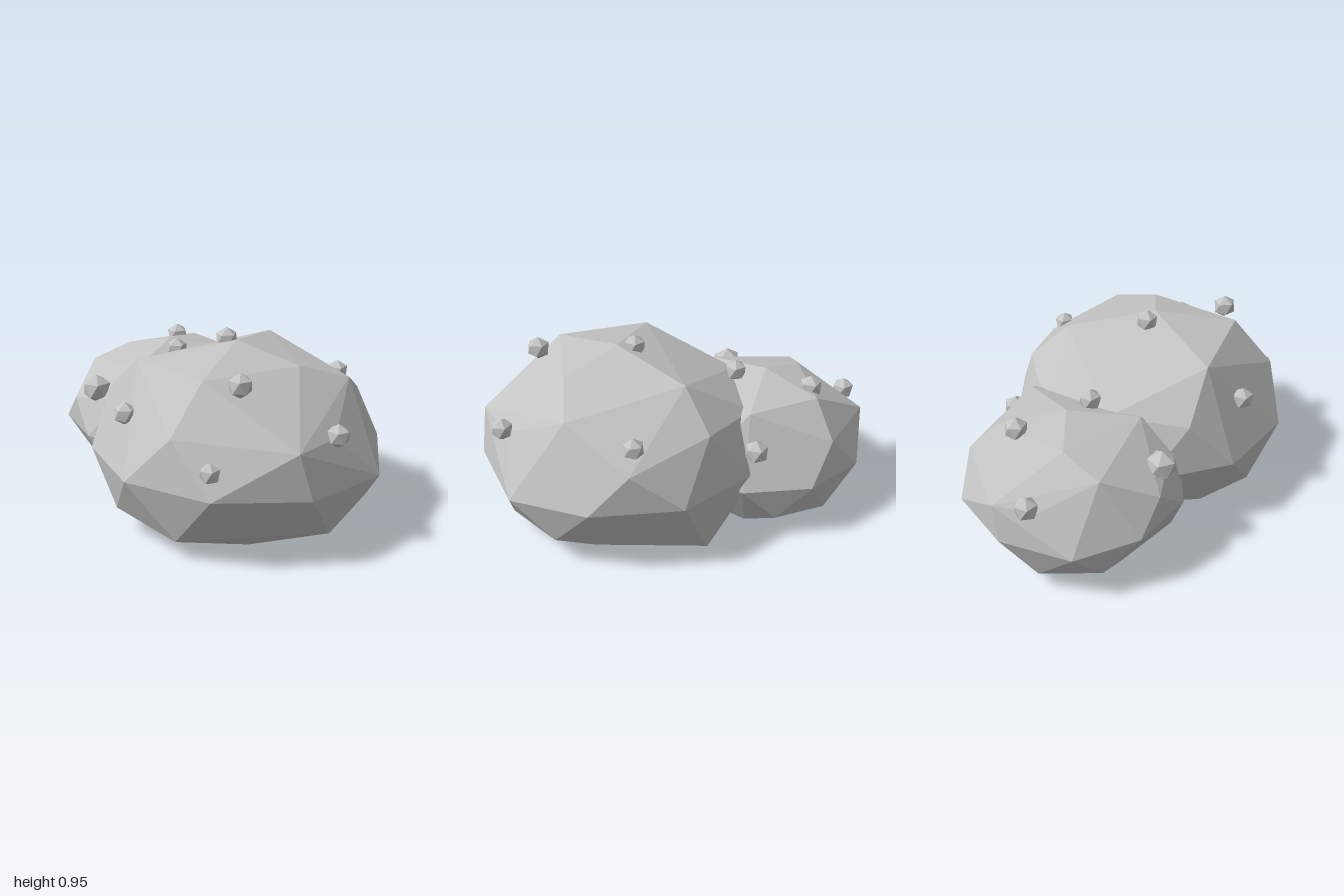
import * as THREE from 'three';
import { ConvexGeometry } from 'three/addons/geometries/ConvexGeometry.js';

const CENTRE = new THREE.Vector3(0, 0.375, 0.27);
const RADII = new THREE.Vector3(0.715, 0.53, 0.73);

// Rings of a faceted ball: height, first angle, angle step, chipped corners by angle
const RINGS = [
  { h: 0.851, start: 0, step: 72, moved: {
    0: [0.32, 0.835, 0], 72: [0.17, 0.83, 0.57], 144: [-0.33, 0.83, 0.58],
    216: [-0.46, 0.815, 0.115], 288: [0.12, 0.76, -0.09] } },
  { h: 0.526, start: 36, step: 72, moved: {
    36: [0.44, 0.74, 0.58], 108: [-0.05, 0.58, 0.975], 180: [-0.55, 0.63, 0.27] } },
  { h: 0.447, start: 0, step: 72, moved: { 0: [0.675, 0.57, 0.3], 72: [0.2, 0.57, 0.86] } },
  { h: 0, start: 18, step: 36, moved: { 54: [0.45, 0.34, 0.86], 90: [0.01, 0.355, 1] } },
  { h: -0.447, start: 36, step: 72, moved: { 108: [-0.12, 0, 0.64], 324: [0.51, 0.03, -0.09] } },
  { h: -0.526, start: 0, step: 72, moved: { 0: [0.5, 0.08, 0.46], 216: [-0.47, 0.02, 0.1] } },
];

// Faceted boulder with a flattened base
function boulderGeometry() {
  const points = [new THREE.Vector3(-0.02, 0.905, 0.3), new THREE.Vector3(0, 0.01, -0.12)];
  for (const { h, start, step, moved } of RINGS) {
    const r = Math.sqrt(1 - h * h);
    for (let deg = start; deg < 360; deg += step) {
      const a = THREE.MathUtils.degToRad(deg);
      points.push(moved[deg]
        ? new THREE.Vector3(...moved[deg])
        : new THREE.Vector3(r * Math.cos(a), h, r * Math.sin(a)).multiply(RADII).add(CENTRE));
    }
  }
  const geometry = new ConvexGeometry(points);
  geometry.translate(0, 0, -CENTRE.z);
  return geometry;
}

export function createModel() {
  const model = new THREE.Group();
  model.name = 'boulders';
  const stone = new THREE.MeshStandardMaterial({ color: 0xc3c3c3 });
  stone.name = 'light grey stone';

  // Large boulder in front, a smaller turned copy behind it
  const geometry = boulderGeometry();
  const large = new THREE.Mesh(geometry, stone);
  large.name = 'largeBoulder';
  large.position.z = CENTRE.z;
  const small = new THREE.Mesh(geometry, stone);
  small.name = 'smallBoulder';
  small.position.set(-0.065, 0.012, -0.44);
  small.scale.set(0.785, 0.775, 0.765);
  small.rotation.y = Math.PI;
  model.add(large, small);

  // Pebbles stuck to the surface: x, y, z, radius
  const pebbles = [
    [-0.03, 0.89, 0.21, 0.057], [-0.195, 0.825, 0.69, 0.06], [0.57, 0.66, 0.27, 0.055],
    [-0.58, 0.61, 0.265, 0.057], [0.2, 0.59, 0.88, 0.057], [-0.395, 0.485, 0.8, 0.052],
    [-0.19, 0.49, -0.925, 0.06], [0.085, 0.665, -0.67, 0.06], [-0.515, 0.53, -0.34, 0.077],
    [-0.07, 0.7, -0.31, 0.058], [0.395, 0.49, -0.34, 0.062],
  ];
  const pebbleGeometry = new THREE.IcosahedronGeometry(1, 0);
  pebbleGeometry.rotateZ(-Math.atan(2 / (1 + Math.sqrt(5))));
  pebbles.forEach(([x, y, z, r], i) => {
    const pebble = new THREE.Mesh(pebbleGeometry, stone);
    pebble.name = `pebble${i + 1}`;
    pebble.position.set(x, y, z);
    pebble.scale.setScalar(r);
    pebble.rotation.y = i * 0.4;
    model.add(pebble);
  });
  return model;
}
